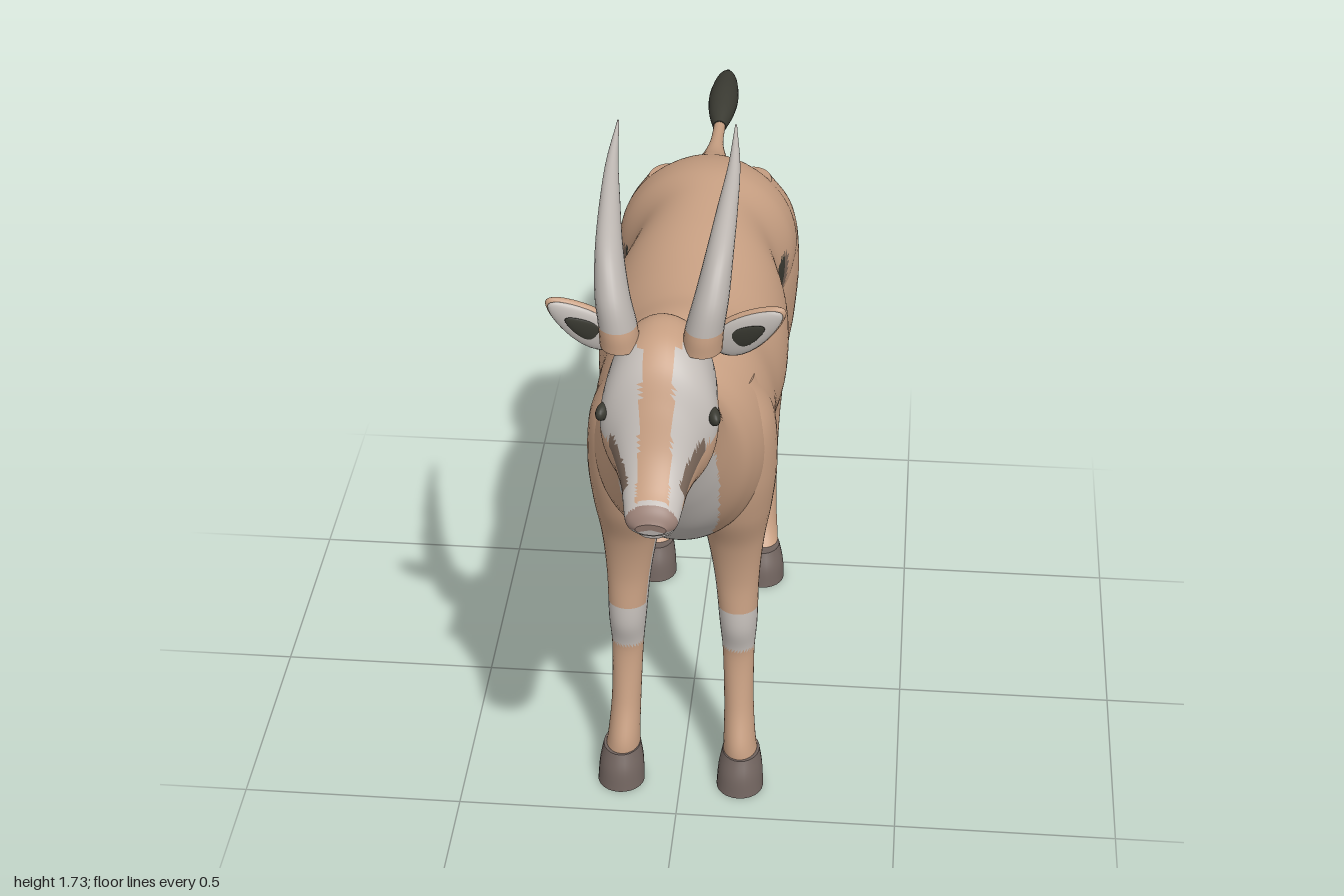
import * as THREE from 'three';

const paint = (name, color) => {
  const m = new THREE.MeshStandardMaterial({ color });
  m.name = name;
  return m;
};
const TAN = 0, WHITE = 1, BLACK = 2, BROWN = 3, HOOF = 4, NOSE = 5, HORN = 6;

// Piecewise linear lookup through [key, value] pairs with rising keys.
function along(pairs, k) {
  if (k <= pairs[0][0]) return pairs[0][1];
  for (let i = 1; i < pairs.length; i++) {
    const [k0, v0] = pairs[i - 1], [k1, v1] = pairs[i];
    if (k <= k1) return v0 + (v1 - v0) * (k - k0) / (k1 - k0);
  }
  return pairs[pairs.length - 1][1];
}

// Smooth skin through oval rings. Each ring is [z0, y0, z1, y1, xCentre, halfWidth]:
// two opposite rim points in the side plane and a sideways half width.
// pick(x, y, z, c, s) returns the colour index; c is +1 at the first rim point.
function loft(name, mats, rings, pick, { steps = 6, sides = 24, side = 1 } = {}) {
  const rim = new THREE.CatmullRomCurve3(rings.map(r => new THREE.Vector3(r[4], r[1], r[0])), false, 'catmullrom', 0.5);
  const far = new THREE.CatmullRomCurve3(rings.map(r => new THREE.Vector3(r[5], r[3], r[2])), false, 'catmullrom', 0.5);
  const rows = (rings.length - 1) * steps;
  const pos = [], tris = [];
  const add = (x, y, z) => pos.push(x * side, y, z) / 3 - 1;
  for (let i = 0; i <= rows; i++) {
    const a = rim.getPoint(i / rows), b = far.getPoint(i / rows);
    for (let j = 0; j < sides; j++) {
      const t = j / sides * Math.PI * 2, c = Math.cos(t), s = Math.sin(t);
      add(a.x + b.x * s, (a.y + b.y) / 2 + (a.y - b.y) / 2 * c, (a.z + b.z) / 2 + (a.z - b.z) / 2 * c);
    }
  }
  for (let i = 0; i < rows; i++) for (let j = 0; j < sides; j++) {
    const k = (j + 1) % sides, p = i * sides + j, q = i * sides + k;
    const t = (j + 0.5) / sides * Math.PI * 2;
    tris.push([p, q, q + sides, t], [p, q + sides, p + sides, t]);
  }
  // End caps with their own vertices, so the rims stay crisp.
  for (const row of [0, rows]) {
    const base = pos.length / 3, mid = [0, 0, 0];
    for (let j = 0; j < sides; j++) for (let d = 0; d < 3; d++) {
      const v = pos[(row * sides + j) * 3 + d];
      pos.push(v);
      mid[d] += v / sides;
    }
    pos.push(...mid);
    for (let j = 0; j < sides; j++) {
      const p = base + j, q = base + (j + 1) % sides, t = (j + 0.5) / sides * Math.PI * 2;
      tris.push(row ? [p, q, base + sides, t] : [q, p, base + sides, t]);
    }
  }
  // Turn the faces outward and sort them by colour.
  const V = i => new THREE.Vector3(pos[3 * i], pos[3 * i + 1], pos[3 * i + 2]);
  const buckets = mats.map(() => []);
  let volume = 0;
  for (const [a, b, c, t] of tris) {
    const A = V(a), B = V(b), C = V(c);
    volume += A.dot(B.clone().cross(C));
    const m = A.add(B).add(C).divideScalar(3);
    buckets[pick(m.x * side, m.y, m.z, Math.cos(t), Math.sin(t))].push([a, b, c]);
  }
  const g = new THREE.BufferGeometry(), index = [];
  buckets.forEach((list, m) => {
    if (!list.length) return;
    g.addGroup(index.length, list.length * 3, m);
    for (const [a, b, c] of list) index.push(...(volume > 0 ? [a, b, c] : [a, c, b]));
  });
  g.setIndex(index);
  g.setAttribute('position', new THREE.Float32BufferAttribute(pos, 3));
  g.computeVertexNormals();
  const mesh = new THREE.Mesh(g, mats);
  mesh.name = name;
  return mesh;
}

// Coat markings: dark flank band, pale belly and pale bib.
const bandTop = [[-.29, 1.035], [-.22, .975], [-.15, .94], [-.02, .908], [.14, .865], [.2, .835], [.27, .79]];
const bandLow = [[-.3, .92], [-.22, .865], [-.14, .842], [-.02, .83], [.11, .815], [.17, .78], [.27, .735]];
const bib = [[.66, .05], [.75, .075], [.85, .098], [1, .105], [1.1, .1], [1.2, .07]];
function coat(x, y, z, c) {
  if (z > -.31 && z < .27) {
    if (y < along(bandLow, z)) return WHITE;
    if (y < along(bandTop, z)) return z < -.297 || z > .25 ? BROWN : BLACK;
  }
  if (z >= .27 && c < -.2 && Math.abs(x) < along(bib, y)) return WHITE;
  if (z <= -.31 && y < .86 && Math.abs(x) < .1) return WHITE;
  return TAN;
}

function face(x, y, z, c) {
  const w = Math.abs(x);
  if (z > .978 && y > 1.14) return NOSE;
  if (w < .032 && c > .4 && z < .97) return TAN;
  if (z > .95) return WHITE;
  if (y > 1.435) return TAN;
  if (z > .855 && z < .935 && Math.abs(y - (1.19 + (.93 - z) * .93)) < .018) return BROWN;
  if (z > .8) return y > along([[.8, 1.275], [.86, 1.25], [.95, 1.17]], z) ? WHITE : TAN;
  return z > .65 && y > 1.32 ? WHITE : TAN;
}

const frontCoat = (x, y, z, c, s) => {
  if (y > .35 && y < .46 && c > -.1 + Math.abs(y - .4) * 5) return WHITE;
  if (y > .36 && y < .8 && s < -.2 && c < .45) return WHITE;
  return y > .6 && y < .76 && c < -.55 ? WHITE : TAN;
};
const hindCoat = (x, y, z, c, s) => {
  if (y > .8 && s > 0) return coat(x, y, z, c);
  return y > .46 && y < .86 && (c > .62 || s < -.3) ? WHITE : TAN;
};

export function createModel() {
  const mats = [
    paint('tan coat', 0xc79f82), paint('pale coat', 0xc4beb9), paint('black band', 0x3a3a32),
    paint('brown marking', 0x7a675a), paint('hoof', 0x70635e), paint('nose', 0x9c8278), paint('horn', 0xbab4af),
  ];
  const model = new THREE.Group();
  model.name = 'antelope';
  const only = i => () => i;

  // Torso and neck in one skin
  model.add(loft('body', mats, [
    [-.545, 1.10, -.56, .97, 0, .05], [-.51, 1.17, -.54, .86, 0, .13], [-.43, 1.21, -.45, .80, 0, .2],
    [-.34, 1.23, -.35, .79, 0, .205], [-.24, 1.228, -.24, .765, 0, .172], [-.1, 1.215, -.1, .72, 0, .205],
    [.04, 1.195, .04, .70, 0, .212], [.16, 1.185, .16, .69, 0, .197], [.26, 1.19, .26, .675, 0, .197],
    [.36, 1.165, .38, .69, 0, .187], [.43, 1.15, .49, .77, 0, .165], [.48, 1.16, .58, .85, 0, .142],
    [.54, 1.2, .65, .95, 0, .122], [.58, 1.27, .7, 1.04, 0, .108], [.62, 1.36, .74, 1.12, 0, .1],
    [.68, 1.44, .78, 1.18, 0, .088],
  ], coat, { steps: 10, sides: 80 }));

  // Head, lower jaw and tail
  model.add(loft('head', mats, [
    [.63, 1.36, .64, 1.2, 0, .07], [.69, 1.45, .7, 1.15, 0, .1], [.77, 1.455, .77, 1.13, 0, .113],
    [.83, 1.415, .82, 1.12, 0, .115], [.87, 1.345, .86, 1.12, 0, .088], [.91, 1.262, .905, 1.125, 0, .067],
    [.95, 1.212, .945, 1.122, 0, .058], [.985, 1.185, .975, 1.118, 0, .05], [1, 1.16, .992, 1.13, 0, .03],
  ], face, { steps: 8, sides: 48 }));
  model.add(loft('lowerJaw', mats, [
    [.82, 1.16, .82, 1.118, 0, .06], [.89, 1.14, .89, 1.108, 0, .052],
    [.94, 1.12, .94, 1.1, 0, .042], [.965, 1.115, .96, 1.1, 0, .02],
  ], (x, y, z) => z > .9 ? WHITE : TAN));
  model.add(loft('tail', mats, [
    [-.48, 1.19, -.5, 1.09, 0, .05], [-.55, 1.168, -.56, 1.11, 0, .03],
    [-.63, 1.16, -.63, 1.125, 0, .016], [-.73, 1.155, -.73, 1.127, 0, .014],
  ], only(TAN)));
  model.add(loft('tailTuft', mats, [
    [-.715, 1.158, -.715, 1.125, 0, .016], [-.78, 1.176, -.78, 1.12, 0, .031], [-.86, 1.185, -.86, 1.115, 0, .036],
    [-.95, 1.176, -.95, 1.125, 0, .025], [-1, 1.158, -1, 1.148, 0, .005],
  ], only(BLACK)));

  for (const side of [1, -1]) {
    const tag = side > 0 ? 'left' : 'right';
    const put = (name, rings, pick, opts) => model.add(loft(tag + name, mats, rings, pick, { side, ...opts }));

    // Legs and hooves
    put('FrontLeg', [
      [.4, .06, .3, .06, .138, .042], [.395, .11, .29, .11, .134, .037], [.36, .2, .275, .2, .13, .034],
      [.335, .33, .27, .33, .127, .036], [.35, .42, .255, .42, .126, .043], [.343, .54, .262, .54, .122, .05],
      [.36, .65, .245, .65, .118, .064], [.4, .75, .215, .75, .115, .083], [.42, .86, .2, .86, .125, .083],
      [.42, .98, .2, .98, .125, .074], [.38, 1.08, .24, 1.08, .11, .045],
    ], frontCoat, { steps: 8, sides: 32 });
    put('FrontHoof', [
      [.435, 0, .325, 0, .138, .054], [.425, .045, .305, .045, .138, .051], [.405, .085, .298, .085, .138, .043],
    ], only(HOOF));
    put('HindLeg', [
      [-.41, .06, -.5, .06, .135, .042], [-.465, .11, -.548, .11, .134, .036], [-.495, .18, -.57, .18, .132, .033],
      [-.53, .3, -.6, .3, .13, .034], [-.53, .4, -.62, .42, .13, .038], [-.51, .46, -.625, .47, .13, .042],
      [-.44, .58, -.592, .58, .13, .05], [-.37, .7, -.555, .7, .13, .062], [-.315, .8, -.54, .8, .13, .075],
      [-.285, .94, -.56, .94, .13, .084], [-.3, 1.06, -.555, 1.06, .125, .074], [-.35, 1.16, -.5, 1.15, .1, .045],
    ], hindCoat, { steps: 8, sides: 32 });
    put('HindHoof', [
      [-.385, 0, -.5, 0, .138, .054], [-.395, .045, -.505, .045, .138, .051], [-.415, .085, -.515, .085, .136, .042],
    ], only(HOOF));

    // Swept-back horn with a furred base
    put('Horn', [
      [.807, 1.42, .716, 1.42, .08, .04], [.805, 1.465, .715, 1.465, .085, .038], [.785, 1.53, .7, 1.52, .097, .034],
      [.73, 1.598, .64, 1.587, .108, .027], [.625, 1.65, .555, 1.635, .116, .02],
      [.517, 1.686, .475, 1.677, .121, .012], [.41, 1.727, .408, 1.721, .118, .002],
    ], (x, y) => y < 1.468 ? TAN : HORN);

    // Leaf-shaped ear: furred back, pale inside, dark centre
    const ear = new THREE.Group();
    ear.name = tag + 'Ear';
    const leaf = (name, m, len, wide, thick, z, shift) => {
      const g = new THREE.SphereGeometry(1, 24, 16), p = g.attributes.position;
      for (let i = 0; i < p.count; i++) {
        const u = p.getX(i);
        p.setXYZ(i, u * len + shift, p.getY(i) * wide * (1 - .3 * u), p.getZ(i) * thick + z + .012 * u);
      }
      g.computeVertexNormals();
      const mesh = new THREE.Mesh(g, mats[m]);
      mesh.name = name;
      ear.add(mesh);
    };
    leaf('earBack', TAN, .09, .042, .018, 0, 0);
    leaf('earInside', WHITE, .083, .037, .012, .01, 0);
    leaf('earCentre', BLACK, .045, .02, .005, .02, -.005);
    ear.position.set(side * .165, 1.405, .662);
    ear.rotation.set(0, side > 0 ? 0 : Math.PI, 0);
    ear.scale.z = side;
    ear.rotateZ(.66);
    model.add(ear);

    // Eye
    const eye = new THREE.Mesh(new THREE.SphereGeometry(1, 20, 14), mats[BLACK]);
    eye.name = tag + 'Eye';
    eye.scale.set(.013, .017, .026);
    eye.position.set(side * .108, 1.305, .828);
    eye.rotation.y = side * .3;
    model.add(eye);
  }
  return model;
}
